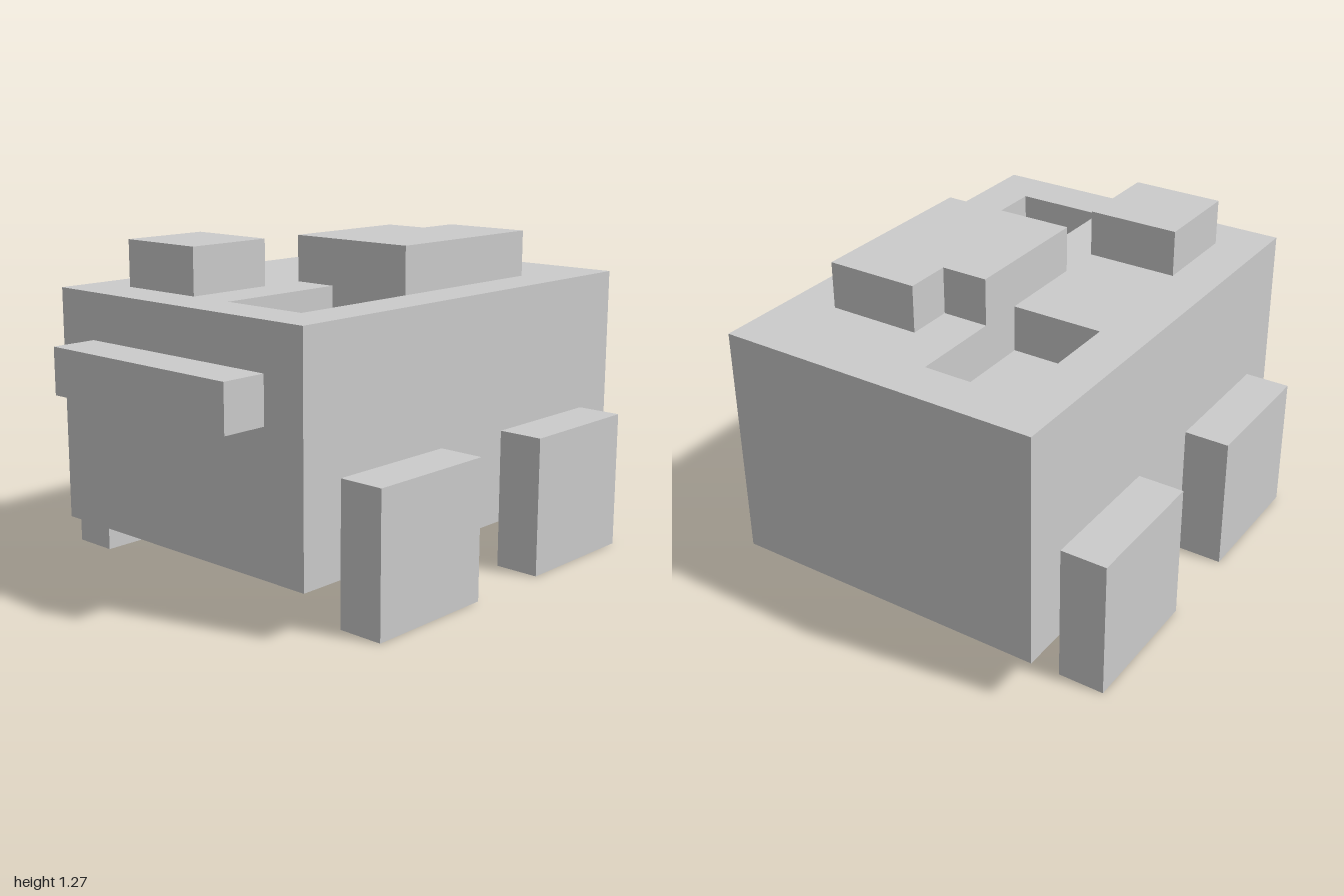
import * as THREE from 'three';

const U = 2 / 11; // one block
const material = new THREE.MeshStandardMaterial({ color: 0xcccccc, flatShading: true });

function add(group, name, geometry) {
  const mesh = new THREE.Mesh(geometry, material);
  mesh.name = name;
  group.add(mesh);
  return mesh;
}

// Box between two corners, in blocks
function block(group, name, [x0, y0, z0], [x1, y1, z1]) {
  const mesh = add(group, name, new THREE.BoxGeometry((x1 - x0) * U, (y1 - y0) * U, (z1 - z0) * U));
  mesh.position.set((x0 + x1) / 2, (y0 + y1) / 2, (z0 + z1) / 2).multiplyScalar(U);
}

// Plan outline from [x, z] corners in blocks; shape y runs along -z
const outline = (points) => points.map(([x, z]) => new THREE.Vector2(x * U, -z * U));
const rect = (x0, z0, x1, z1) => outline([[x0, z0], [x0, z1], [x1, z1], [x1, z0]]);

// One-block-high slab with its underside at height y
function slab(group, name, points, y, holes = []) {
  const shape = new THREE.Shape(points);
  shape.holes = holes.map((h) => new THREE.Path(h));
  const geometry = new THREE.ExtrudeGeometry(shape, { depth: U, bevelEnabled: false });
  geometry.rotateX(-Math.PI / 2);
  add(group, name, geometry).position.y = y * U;
}

export function createModel() {
  const model = new THREE.Group();
  model.name = 'blockVehicle';

  // Body: solid lower part and a top layer with two pits
  block(model, 'lowerBody', [-3.5, 1, -5.5], [3.5, 5, 4.5]);
  slab(model, 'upperBody', rect(-3.5, -5.5, 3.5, 4.5), 5, [
    rect(-2.5, -4.5, -0.5, -1.5),
    rect(0.5, 0.5, 2.5, 3.5),
  ]);

  // Raised parts on the roof
  slab(model, 'notchedRoofBlock', outline([
    [-0.5, -2.5], [-0.5, 0.5], [2.5, 0.5], [2.5, -3.5], [0.5, -3.5], [0.5, -2.5],
  ]), 6);
  block(model, 'smallRoofBlock', [-2.5, 6, 1.5], [-0.5, 7, 3.5]);

  // Bumper across the front
  block(model, 'frontBumper', [-2.5, 4, 4.5], [2.5, 5, 5.5]);

  // Square wheels
  for (const [end, z] of [['front', 0.5], ['rear', -4.5]]) {
    block(model, `${end}LeftWheel`, [3.5, 0, z], [4.5, 3, z + 3]);
    block(model, `${end}RightWheel`, [-4.5, 0, z], [-3.5, 3, z + 3]);
  }
  return model;
}
